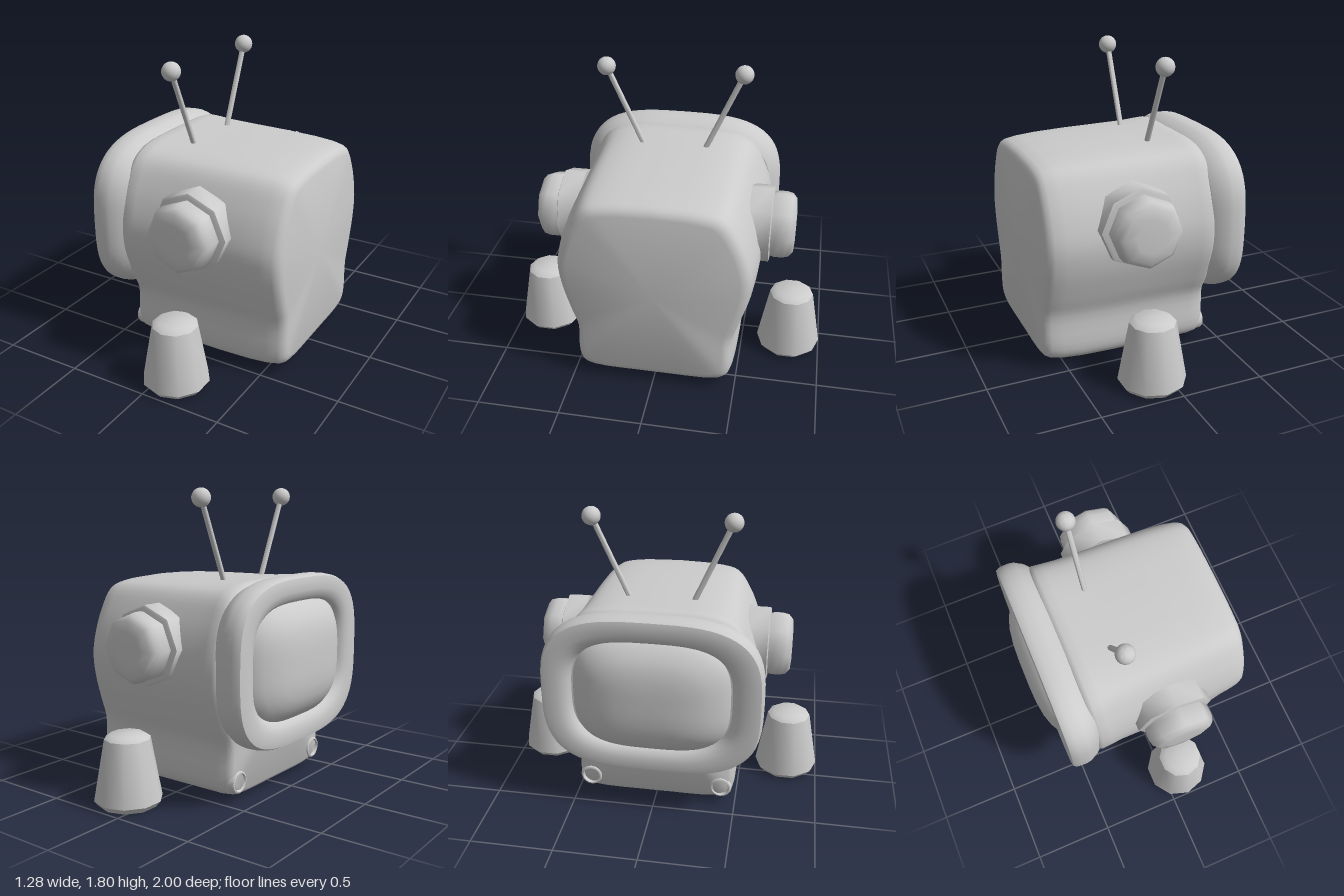
import * as THREE from 'three';
import { toCreasedNormals } from 'three/addons/utils/BufferGeometryUtils.js';

const grey = new THREE.MeshStandardMaterial({ color: 0xcccccc });

function part(name, geometry, crease = 0.75) {
  const mesh = new THREE.Mesh(toCreasedNormals(geometry, crease), grey);
  mesh.name = name;
  return mesh;
}

// Skin a row of closed outlines running towards +x and cap both ends.
// Each section is { x, pts: [[z, y], ...] }, starting at the top and turning to +z.
function loft(sections) {
  const n = sections[0].pts.length;
  const pos = [], idx = [];
  for (const { x, pts } of sections) for (const [z, y] of pts) pos.push(x, y, z);
  for (let i = 0; i < sections.length - 1; i++) {
    for (let j = 0; j < n; j++) {
      const a = i * n + j, b = i * n + (j + 1) % n;
      idx.push(a, b, a + n, b, b + n, a + n);
    }
  }
  const cap = (i, flip) => {
    const { x, pts } = sections[i];
    const c = pos.length / 3;
    const midY = pts.reduce((s, p) => s + p[1], 0) / n;
    pos.push(x, midY, 0);
    for (let j = 0; j < n; j++) {
      const a = i * n + j, b = i * n + (j + 1) % n;
      if (flip) idx.push(c, b, a);
      else idx.push(c, a, b);
    }
  };
  cap(0, true);
  cap(sections.length - 1, false);
  const g = new THREE.BufferGeometry();
  g.setAttribute('position', new THREE.Float32BufferAttribute(pos, 3));
  g.setIndex(idx);
  return g;
}

// Rounded-rectangle outline centred on the screen height.
function squircle(halfWidth, halfHeight, n = 64) {
  const pts = [];
  const p = (v) => Math.sign(v) * Math.abs(v) ** (2 / 3.2);
  for (let j = 0; j < n; j++) {
    const a = (j / n) * Math.PI * 2;
    pts.push([halfWidth * p(Math.sin(a)), 0.8 + halfHeight * p(Math.cos(a))]);
  }
  return pts;
}

// Half outlines of the body, [z, y] from top to bottom.
const base = [[0.49, 0.12], [0.465, 0.06], [0.4, 0.03], [0, 0.02]];
const backHalf = [[0, 1.26], [0.3, 1.245], [0.42, 1.21], [0.51, 1.08], [0.57, 0.93],
  [0.595, 0.8], [0.58, 0.65], [0.53, 0.47], [0.49, 0.34], ...base];
const frontHalf = [[0, 1.295], [0.38, 1.28], [0.52, 1.2], [0.6, 1.05], [0.635, 0.92],
  [0.645, 0.8], [0.635, 0.65], [0.56, 0.45], [0.49, 0.32], ...base];

function bodySection(x, blend, inset) {
  const ctrl = backHalf.map(([z, y], i) => new THREE.Vector3(
    0,
    THREE.MathUtils.lerp(y, frontHalf[i][1], blend),
    THREE.MathUtils.lerp(z, frontHalf[i][0], blend)));
  const half = new THREE.CatmullRomCurve3(ctrl).getPoints(48).map((v) => [
    v.z * (1 - inset / 0.55), 0.65 + (v.y - 0.65) * (1 - inset / 0.62)]);
  const mirrored = half.slice(1, -1).reverse().map(([z, y]) => [-z, y]);
  return { x, pts: [...half, ...mirrored] };
}

function lathe(profile, sides) {
  return new THREE.LatheGeometry(profile.map(([r, y]) => new THREE.Vector2(r, y)), sides);
}

export function createModel() {
  const model = new THREE.Group();
  model.name = 'televisionHelmet';

  // Shell with a narrower base
  model.add(part('body', loft([
    [-0.4, 0.75, 0.04], [-0.385, 0.7, 0.02], [-0.36, 0.6, 0.006], [-0.3, 0.4, 0],
    [-0.2, 0.25, 0], [0, 0.17, 0], [0.2, 0.1, 0], [0.4, 0.03, 0.004], [0.52, 0, 0.012],
    [0.59, 0, 0.024], [0.615, 0, 0.036], [0.632, 0, 0.056], [0.64, 0, 0.08],
  ].map((s) => bodySection(...s)))));

  // Bezel: recess floor, inner lip, front face, rounded rim, tuck into the body
  model.add(part('bezel', loft([
    [-0.52, 0.18], [-0.545, 0.165], [-0.565, 0.14], [-0.575, 0.1], [-0.575, 0.04],
    [-0.57, 0.015], [-0.55, 0.004], [-0.52, 0], [-0.48, 0], [-0.45, 0.006],
    [-0.425, 0.02], [-0.4, 0.032], [-0.37, 0.06],
  ].map(([x, d]) => ({ x, pts: squircle(0.655 - d, 0.5 - d * 0.9) })))));

  // Bulging screen
  model.add(part('screen', loft([
    [-0.644, 0.2], [-0.64, 0.4], [-0.626, 0.6], [-0.603, 0.75], [-0.57, 0.87],
    [-0.535, 0.97], [-0.51, 1],
  ].map(([x, s]) => ({ x, pts: squircle(0.47 * s, 0.36 * s) })))));

  const earPlate = [[0, -0.13], [0.24, -0.13], [0.24, 0], [0.225, 0.006], [0, 0.006]];
  const earCap = [[0, 0], [0.2, 0], [0.208, 0.03], [0.208, 0.08], [0.198, 0.118],
    [0.168, 0.143], [0.1, 0.149], [0, 0.15]];
  const cone = [[0, 0.1], [0.13, 0.1], [0.145, 0], [0.17, 0], [0.2, 0.035],
    [0.135, 0.395], [0.1, 0.42], [0, 0.42]];
  const nozzle = [[0, 0], [0.07, 0], [0.07, 0.14], [0.064, 0.152], [0.055, 0.155],
    [0.045, 0.135], [0, 0.125]];

  for (const side of [1, -1]) {
    const label = side > 0 ? 'Front' : 'Back';

    // Octagonal ear
    const ear = new THREE.Group();
    ear.name = 'ear' + label;
    ear.add(part('earPlate', lathe(earPlate, 8), 0.9), part('earCap', lathe(earCap, 8), 0.9));
    ear.position.set(0.105, 0.9, side * 0.64);
    ear.rotation.x = side * Math.PI / 2;
    model.add(ear);

    // Free-standing hollow cone
    const foot = part('cone' + label, lathe(cone, 10), 0.68);
    foot.position.set(0.105, 0, side * 0.8);
    model.add(foot);

    // Small nozzle at the front of the base
    const tube = part('nozzle' + label, lathe(nozzle, 16));
    tube.position.set(-0.255, 0.122, side * 0.41);
    tube.rotation.z = Math.PI / 2;
    model.add(tube);

    // Leaning antenna with a ball tip
    const foot0 = new THREE.Vector3(-0.132, 1.24, side * 0.19);
    const tip = new THREE.Vector3(-0.135, 1.745, side * 0.415);
    const rod = part('antennaRod' + label,
      new THREE.CylinderGeometry(0.017, 0.017, foot0.distanceTo(tip), 10));
    rod.position.lerpVectors(foot0, tip, 0.5);
    rod.quaternion.setFromUnitVectors(new THREE.Vector3(0, 1, 0), tip.clone().sub(foot0).normalize());
    const ball = part('antennaBall' + label, new THREE.SphereGeometry(0.056, 20, 14));
    ball.position.copy(tip);
    model.add(rod, ball);
  }
  return model;
}
